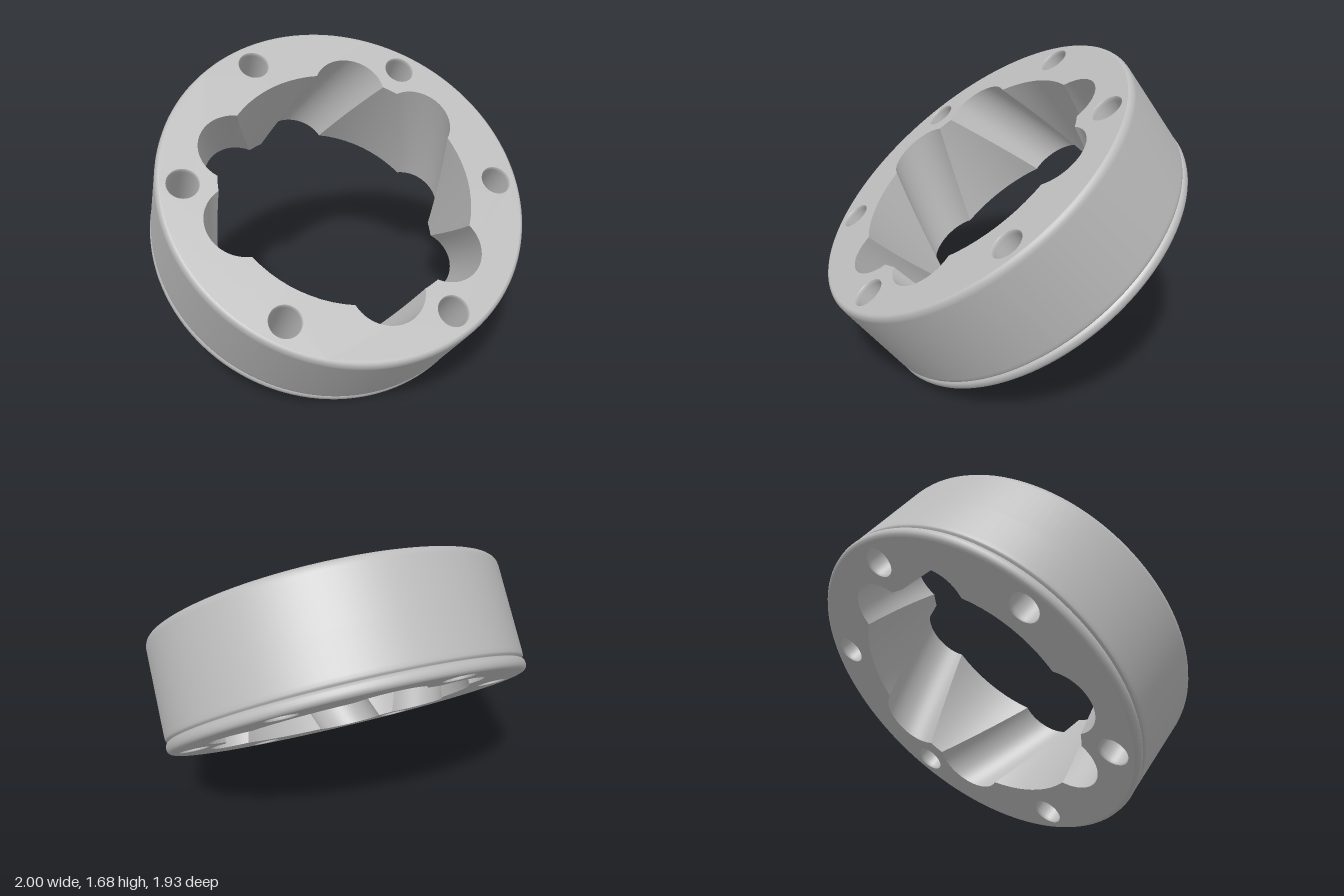
import * as THREE from 'three';

const RAD = Math.PI / 180;
const H = 0.307;        // half thickness
const RIM = 0.975;      // flat face edge
const BORE = 0.688;     // inner land radius
const TRACK_C = 0.61;   // track centre radius
const TRACK_R = 0.2;    // track cylinder radius
const HOLE_R = 0.085, HOLE_PITCH = 0.86;
// half angle a track takes up on the bore, and the matching arc on its own circle
const HALF = Math.acos((TRACK_C ** 2 + BORE ** 2 - TRACK_R ** 2) / (2 * TRACK_C * BORE));
const ARC = Math.atan2(BORE * Math.sin(HALF), BORE * Math.cos(HALF) - TRACK_C);

// tracks lean alternately left and right; t runs from -1 (bottom) to 1 (top)
const trackAngle = (k, t) => (20 + 60 * k + (k % 2 ? -10 : 10) * t) * RAD;

// point on track k, s in 0..1 across it
function trackPoint(k, s, t) {
  const a = trackAngle(k, t), b = a + (2 * s - 1) * ARC;
  return [TRACK_C * Math.cos(a) + TRACK_R * Math.cos(b), TRACK_C * Math.sin(a) + TRACK_R * Math.sin(b)];
}

// point on the land between track k and the next
function landPoint(k, s, t) {
  const a0 = trackAngle(k, t) + HALF;
  const a1 = trackAngle((k + 1) % 6, t) + (k === 5 ? 2 * Math.PI : 0) - HALF;
  const a = a0 + (a1 - a0) * s;
  return [BORE * Math.cos(a), BORE * Math.sin(a)];
}

// inward-facing wall strip from a point rule
function wallStrip(rule, k, nS, nT) {
  const pos = [], idx = [];
  for (let j = 0; j <= nT; j++) {
    const t = -1 + (2 * j) / nT;
    for (let i = 0; i <= nS; i++) {
      const [x, v] = rule(k, i / nS, t);
      pos.push(x, t * H, -v);
    }
  }
  for (let j = 0; j < nT; j++) {
    for (let i = 0; i < nS; i++) {
      const a = j * (nS + 1) + i, b = a + 1, d = a + nS + 1, c = d + 1;
      idx.push(a, c, b, a, d, c);
    }
  }
  const g = new THREE.BufferGeometry();
  g.setAttribute('position', new THREE.Float32BufferAttribute(pos, 3));
  g.setIndex(idx);
  g.computeVertexNormals();
  return g;
}

const circlePoints = (cx, cy, r, n) => Array.from({ length: n }, (_, i) => {
  const a = (i / n) * 2 * Math.PI;
  return new THREE.Vector2(cx + r * Math.cos(a), cy + r * Math.sin(a));
});

const holeCentres = Array.from({ length: 6 }, (_, k) => {
  const a = (-10 + 60 * k) * RAD;
  return [HOLE_PITCH * Math.cos(a), HOLE_PITCH * Math.sin(a)];
});

// flat ring face with the bore outline and bolt holes cut out
function faceGeometry(t) {
  const shape = new THREE.Shape(circlePoints(0, 0, RIM, 128));
  const outline = [];
  for (let k = 0; k < 6; k++) {
    for (let i = 0; i < 24; i++) outline.push(new THREE.Vector2(...trackPoint(k, i / 24, t)));
    for (let i = 0; i < 10; i++) outline.push(new THREE.Vector2(...landPoint(k, i / 10, t)));
  }
  shape.holes.push(new THREE.Path(outline));
  for (const [x, y] of holeCentres) shape.holes.push(new THREE.Path(circlePoints(x, y, HOLE_R, 32)));
  if (t < 0) {
    for (const path of [shape, ...shape.holes]) {
      path.curves.forEach((c) => { c.v1 = new THREE.Vector2(c.v1.x, -c.v1.y); c.v2 = new THREE.Vector2(c.v2.x, -c.v2.y); });
    }
  }
  return new THREE.ShapeGeometry(shape).rotateX(-t * Math.PI / 2).translate(0, t * H, 0);
}

const lathe = (pts, n) => new THREE.LatheGeometry(pts.map(([r, y]) => new THREE.Vector2(r, y)), n);

export function createModel() {
  const steel = new THREE.MeshStandardMaterial({ color: 0xbbbbbb });
  steel.name = 'plain steel grey';
  const ring = new THREE.Group();
  const add = (name, geometry) => {
    const m = new THREE.Mesh(geometry, steel);
    m.name = name;
    ring.add(m);
    return m;
  };

  // outer wall: rounded bead at the bottom, fine groove, body with softened top edge
  add('outerWall', lathe([
    [RIM, -H], [0.987, -H + 0.004], [0.996, -H + 0.014], [1, -H + 0.028], [0.999, -H + 0.044],
    [0.993, -H + 0.056], [0.982, -H + 0.062], [0.982, -H + 0.066], [0.993, -H + 0.07],
    [0.997, -H + 0.08], [0.998, -H + 0.1], [0.998, 0], [0.998, H - 0.04],
    [0.996, H - 0.024], [0.99, H - 0.01], [0.983, H - 0.003], [RIM, H],
  ], 128));

  // end faces
  add('topFace', faceGeometry(1));
  add('bottomFace', faceGeometry(-1));

  // leaning ball tracks and the lands between them
  for (let k = 0; k < 6; k++) {
    add('ballTrack' + (k + 1), wallStrip(trackPoint, k, 24, 16));
    add('land' + (k + 1), wallStrip(landPoint, k, 10, 16));
  }

  // through bolt holes with softened rims
  const bolt = lathe([
    [HOLE_R, H], [0.081, H - 0.006], [0.079, H - 0.02], [0.079, 0],
    [0.079, -H + 0.02], [0.081, -H + 0.006], [HOLE_R, -H],
  ], 32);
  holeCentres.forEach(([x, v], i) => add('boltHole' + (i + 1), bolt).position.set(x, 0, -v));

  // lean the ring towards the front
  ring.name = 'trackRing';
  ring.rotation.x = 37.6 * RAD;
  ring.position.y = 0.842;
  const model = new THREE.Group();
  model.name = 'bearingRing';
  model.add(ring);
  return model;
}
